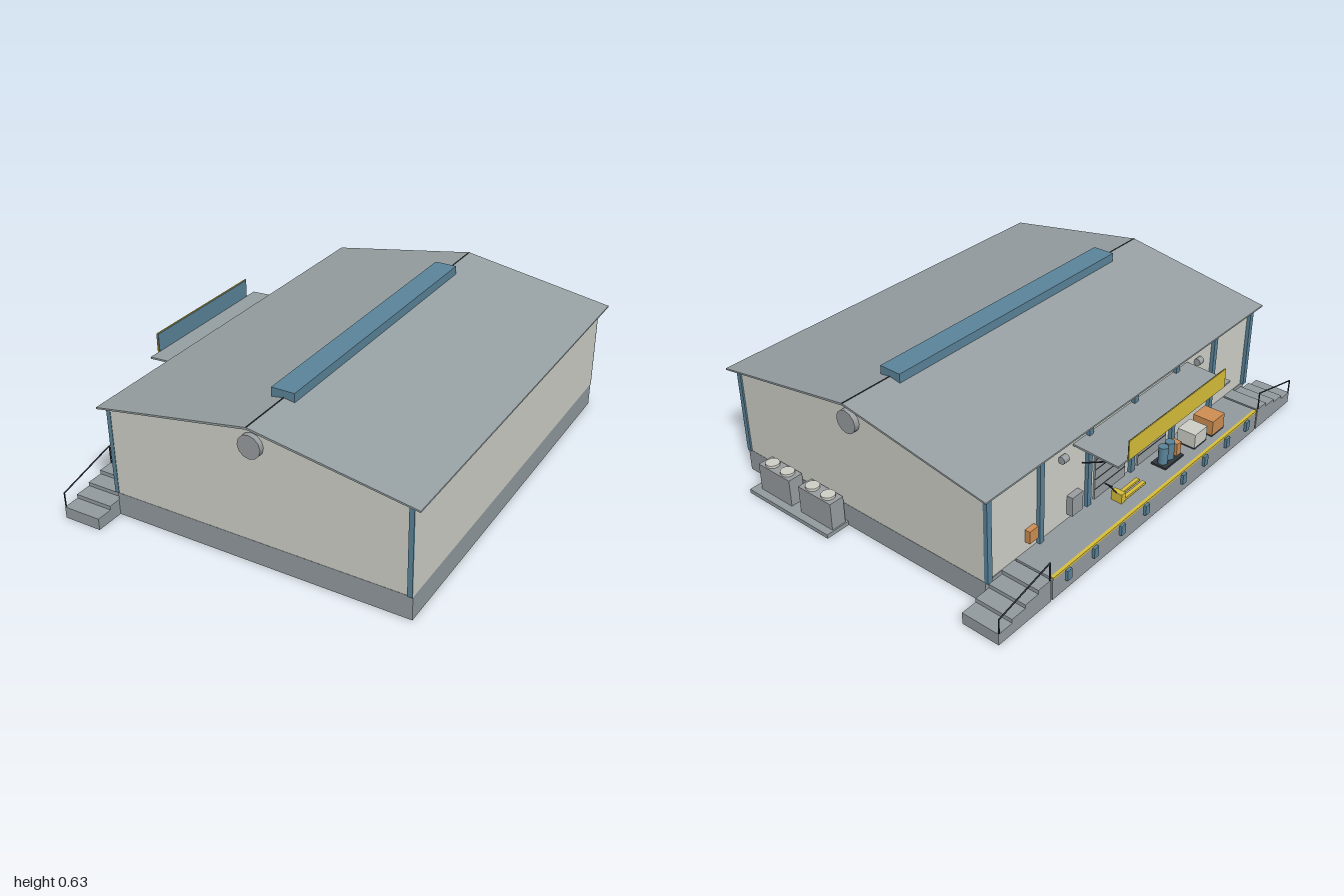
import * as THREE from 'three';

const mat = (name, color) => {
  const m = new THREE.MeshStandardMaterial({ color });
  m.name = name;
  return m;
};

export function createModel() {
  const concrete = mat('concrete grey', 0x949ca0);
  const roofGrey = mat('roof grey', 0x98a1a4);
  const cream = mat('wall cream', 0xd0d2c9);
  const blue = mat('trim blue', 0x5b859b);
  const dark = mat('dark metal', 0x30373c);
  const yellow = mat('safety yellow', 0xd9bf3a);
  const orange = mat('crate orange', 0xd08f52);
  const metal = mat('door metal', 0x9a9fa2);

  const model = new THREE.Group();
  model.name = 'warehouse';

  const add = (name, geometry, material) => {
    const mesh = new THREE.Mesh(geometry, material);
    mesh.name = name;
    model.add(mesh);
    return mesh;
  };
  // Box given by its limits on each axis
  const box = (name, material, x0, x1, y0, y1, z0, z1) => {
    const m = add(name, new THREE.BoxGeometry(x1 - x0, y1 - y0, z1 - z0), material);
    m.position.set((x0 + x1) / 2, (y0 + y1) / 2, (z0 + z1) / 2);
    return m;
  };
  // Profile in x and y, drawn out along z
  const prism = (name, material, points, z0, z1) => {
    const shape = new THREE.Shape(points.map(([x, y]) => new THREE.Vector2(x, y)));
    const g = new THREE.ExtrudeGeometry(shape, { depth: z1 - z0, bevelEnabled: false });
    return add(name, g.translate(0, 0, z0), material);
  };
  // Thin straight bar between two points
  const rod = (name, material, a, b, r = 0.003) => {
    const p = new THREE.Vector3(...a), q = new THREE.Vector3(...b);
    const m = add(name, new THREE.CylinderGeometry(r, r, p.distanceTo(q), 6), material);
    m.position.copy(p).add(q).multiplyScalar(0.5);
    m.quaternion.setFromUnitVectors(new THREE.Vector3(0, 1, 0), q.sub(p).normalize());
    return m;
  };

  // Main hall
  box('foundation', concrete, -0.56, 0.728, 0, 0.1, -0.875, 0.875);
  prism('walls', cream,
    [[-0.557, 0.1], [0.728, 0.1], [0.728, 0.479], [0.085, 0.59], [-0.557, 0.479]], -0.874, 0.874);

  // Roof with ridge line, verge boards and skylight
  prism('roof', roofGrey, [[-0.595, 0.479], [0.085, 0.591], [0.762, 0.479],
    [0.762, 0.486], [0.085, 0.6], [-0.595, 0.486]], -0.905, 0.905);
  box('ridgeCap', dark, 0.083, 0.087, 0.596, 0.602, -0.905, 0.905);
  box('skylight', blue, 0.032, 0.132, 0.585, 0.63, -0.665, 0.665);

  for (const s of [-1, 1]) {
    // Gable vents and corner strips
    const vent = add('gableVent', new THREE.CylinderGeometry(0.049, 0.049, 0.024, 12), metal);
    vent.rotation.x = Math.PI / 2;
    vent.position.set(0.085, 0.515, s * 0.884);
    box('cornerStrip', blue, 0.708, 0.728, 0.1, 0.481, s * 0.877 - 0.004, s * 0.877 + 0.004);

    // End stairs, rising towards the dock
    [0.1, 0.083, 0.067, 0.05].forEach((h, i) => {
      const a = s * (0.715 + i * 0.07125), b = s * (0.715 + (i + 1) * 0.07125);
      box('stairStep', concrete, -0.727, -0.56, 0, h, Math.min(a, b), Math.max(a, b));
    });
    // Stair railing
    rod('railPost', dark, [-0.725, 0.05, s * 0.996], [-0.725, 0.115, s * 0.996]);
    rod('railPost', dark, [-0.725, 0.1, s * 0.72], [-0.725, 0.18, s * 0.72]);
    rod('handRail', dark, [-0.725, 0.113, s * 0.996], [-0.725, 0.18, s * 0.72]);
  }

  // Loading dock with edge stripe and bumpers
  box('dock', concrete, -0.727, -0.56, 0, 0.1, -0.706, 0.706);
  box('dockEdgeStripe', yellow, -0.729, -0.715, 0.093, 0.102, -0.704, 0.704);
  for (const z of [0.13, 0.29, 0.46, 0.62])
    for (const s of [-1, 1])
      box('dockBumper', blue, -0.739, -0.727, 0.045, 0.09, s * z - 0.013, s * z + 0.013);

  // Pillars along the dock wall
  for (let i = -3; i <= 3; i++) {
    const z = i * 0.288;
    box('pillar', blue, -0.573, -0.555, 0.1, 0.482, z - 0.012, z + 0.012);
  }
  // Dock doors with slat lines
  for (const z of [-0.144, 0.144]) {
    box('dockDoor', metal, -0.565, -0.555, 0.1, 0.33, z - 0.1, z + 0.1);
    for (let i = 1; i < 5; i++)
      box('doorSlat', dark, -0.567, -0.56, 0.1 + i * 0.046, 0.102 + i * 0.046, z - 0.1, z + 0.1);
  }
  box('controlBox', orange, -0.58, -0.556, 0.145, 0.2, -0.655, -0.605);
  box('electricCabinet', metal, -0.585, -0.556, 0.125, 0.21, -0.41, -0.345);

  // Canopy with braces, lamps and sign board
  prism('canopy', roofGrey, [[-0.76, 0.411], [-0.556, 0.42], [-0.556, 0.428], [-0.76, 0.419]], -0.38, 0.38);
  for (const z of [-0.33, 0, 0.33])
    rod('canopyBrace', dark, [-0.75, 0.413, z], [-0.565, 0.32, z]);
  for (const z of [-0.144, 0.144]) {
    box('canopyLamp', metal, -0.66, -0.643, 0.4, 0.417, z - 0.04, z + 0.04);
  }
  for (const z of [-0.45, 0.45]) {
    const lamp = add('wallLamp', new THREE.CylinderGeometry(0.016, 0.016, 0.03, 10), metal);
    lamp.rotation.x = Math.PI / 2;
    lamp.position.set(-0.57, 0.405, z);
  }
  box('signBoard', yellow, -0.766, -0.762, 0.418, 0.502, -0.325, 0.325);
  box('signBack', blue, -0.762, -0.758, 0.418, 0.499, -0.321, 0.321);

  // Goods on the dock
  const crate = (name, material, x0, x1, h, z0, z1) => {
    box('pallet', dark, x0, x1, 0.1, 0.108, z0, z1);
    box(name, material, x0, x1, 0.108, h, z0, z1);
  };
  crate('orangeCrate', orange, -0.686, -0.59, 0.173, 0.41, 0.5);
  crate('paleCrate', cream, -0.68, -0.595, 0.17, 0.285, 0.375);
  for (const z of [0.12, 0.165]) {
    const drum = add('drum', new THREE.CylinderGeometry(0.021, 0.021, 0.077, 10), blue);
    drum.position.set(-0.635, 0.1465, z);
  }
  box('drumPallet', dark, -0.67, -0.6, 0.1, 0.108, 0.09, 0.22);
  box('smallOrangeCrate', orange, -0.655, -0.615, 0.108, 0.165, 0.19, 0.22);

  // Pallet jack
  for (const x of [-0.655, -0.625])
    box('jackFork', yellow, x - 0.008, x + 0.008, 0.104, 0.114, -0.18, -0.04);
  box('jackBody', yellow, -0.665, -0.615, 0.103, 0.145, -0.205, -0.18);
  rod('jackHandle', dark, [-0.64, 0.14, -0.2], [-0.62, 0.19, -0.235]);
  rod('jackGrip', dark, [-0.64, 0.19, -0.235], [-0.605, 0.19, -0.235]);

  // Cooling units behind the hall
  box('coolerSlab', concrete, 0.147, 0.602, 0, 0.018, -0.985, -0.87);
  for (const x of [0.243, 0.477]) {
    box('coolerUnit', metal, x - 0.09, x + 0.09, 0.018, 0.14, -0.952, -0.885);
    for (const d of [-0.044, 0.044]) {
      const fan = add('coolerFan', new THREE.CylinderGeometry(0.029, 0.029, 0.012, 12), cream);
      fan.position.set(x + d, 0.145, -0.918);
    }
  }

  return model;
}
